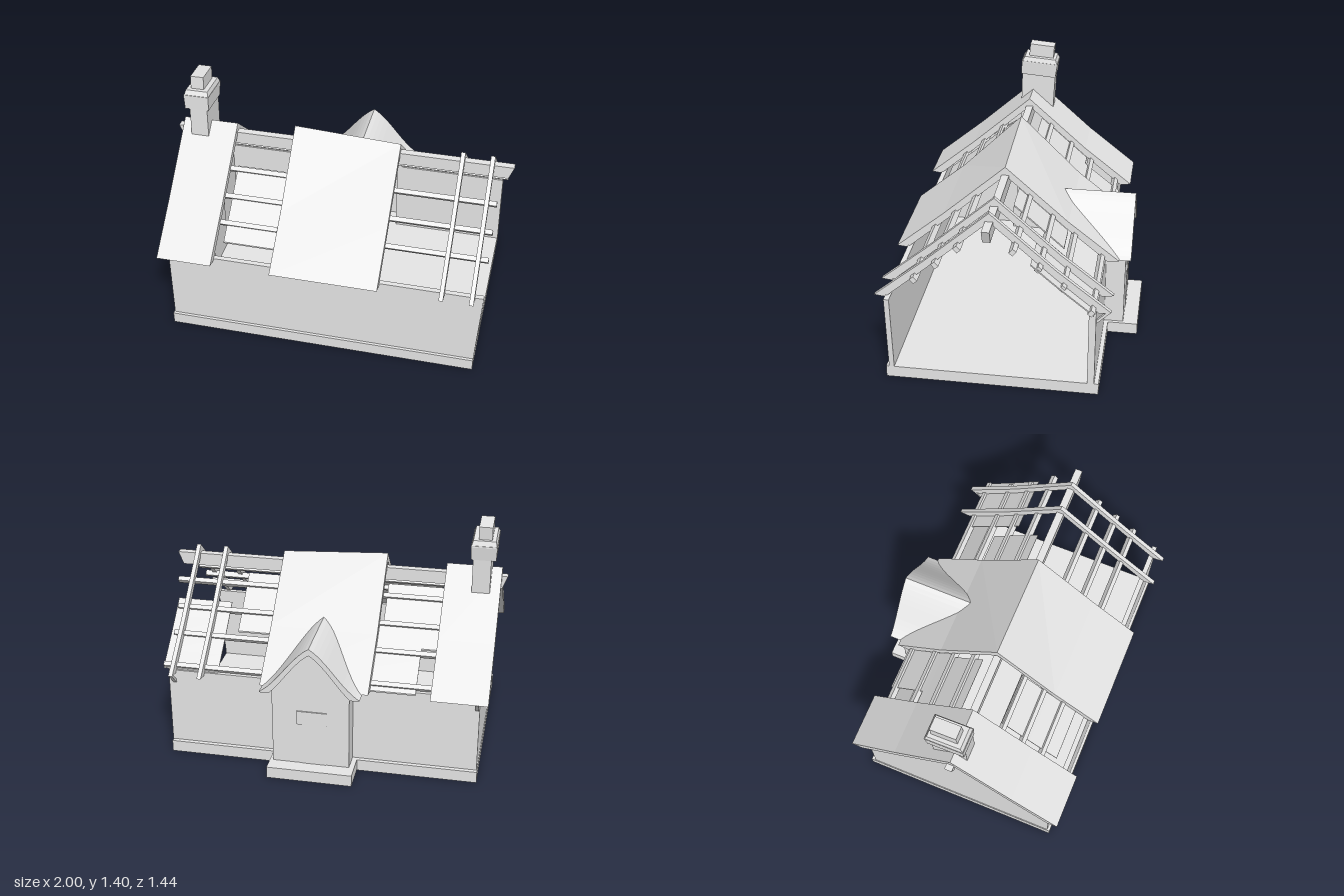
import * as THREE from 'three';

const stone = new THREE.MeshStandardMaterial({ color: 0xe6e6e6 });
stone.name = 'pale grey';

// Main roof surface height at depth z, ridge at z = 0.065
const RIDGE = 0.065;
function roofY(z) {
  const d = Math.abs(z - RIDGE);
  return d < 0.365 ? 1.1 - d * 0.89 : 0.775 - (d - 0.365) * 0.81;
}

export function createModel() {
  const house = new THREE.Group();
  house.name = 'ruinedCottage';

  const add = (name, geometry) => {
    const mesh = new THREE.Mesh(geometry, stone);
    mesh.name = name;
    house.add(mesh);
    return mesh;
  };
  const box = (name, x0, x1, y0, y1, z0, z1) =>
    add(name, new THREE.BoxGeometry(x1 - x0, y1 - y0, z1 - z0)
      .translate((x0 + x1) / 2, (y0 + y1) / 2, (z0 + z1) / 2));
  const extrude = (points, depth) => new THREE.ExtrudeGeometry(
    new THREE.Shape(points.map(p => new THREE.Vector2(p[0], p[1]))),
    { depth, bevelEnabled: false });
  // Profile in (z, y) swept from x0 to x1
  const sweepX = (name, points, x0, x1) =>
    add(name, extrude(points, x1 - x0).rotateY(-Math.PI / 2).translate(x1, 0, 0));
  // Profile in (x, y) swept from z0 to z1
  const sweepZ = (name, points, z0, z1) =>
    add(name, extrude(points, z1 - z0).translate(0, 0, z0));

  // Plinth, and a porch step that is hollow underneath
  box('plinth', -0.92, 0.905, 0, 0.07, -0.545, 0.67);
  box('stepTop', -0.22, 0.28, 0.06, 0.07, -0.722, -0.545);
  box('stepFront', -0.22, 0.28, 0, 0.06, -0.722, -0.717);
  box('stepSide', -0.22, -0.215, 0, 0.06, -0.717, -0.545);
  box('stepSide', 0.275, 0.28, 0, 0.06, -0.717, -0.545);

  // Walls: the right end is open and the front wall ends in a slant
  sweepZ('frontWall', [[-0.915, 0.07], [0.905, 0.07], [0.935, 0.54], [-0.915, 0.54]], 0.623, 0.653);
  // Back wall in two lengths, open to the porch between them
  box('backWall', -0.915, -0.16, 0.07, 0.54, -0.52, -0.48);
  box('backWall', 0.23, 0.907, 0.07, 0.54, -0.52, -0.48);
  sweepX('gableWall', [[0.65, 0.07], [0.65, 0.535], [0.43, 0.73], [RIDGE, 1.055],
    [-0.3, 0.73], [-0.515, 0.55], [-0.515, 0.07]], -0.915, -0.89);
  sweepX('gableLining', [[0.625, 0.07], [0.625, 0.535], [RIDGE, 0.914], [-0.48, 0.555], [-0.48, 0.07]],
    -0.89, -0.87);

  // Roof strips and bare rafters share one bent profile
  const roofProfile = [[0.718, 0.536], [0.43, 0.775], [RIDGE, 1.1], [-0.3, 0.775], [-0.6, 0.538],
    [-0.535, 0.528], [-0.3, 0.722], [RIDGE, 1.047], [0.43, 0.722], [0.655, 0.528]];
  sweepX('leftRoof', roofProfile, -0.965, -0.64);
  const middle = sweepX('middleRoof', roofProfile, -0.29, 0.34).geometry;
  const pos = middle.attributes.position;
  for (let i = 0; i < pos.count; i++) { // ridge rises towards the chimney
    if (pos.getX(i) < 0 && Math.abs(pos.getZ(i) - RIDGE) < 0.01) pos.setY(i, pos.getY(i) + 0.035);
  }
  middle.computeVertexNormals();
  for (const x of [0.702, 0.873]) sweepX('rafter', roofProfile, x - 0.0125, x + 0.0125);

  // Small struts under the back eave
  for (const x of [-0.9, 0.873]) {
    sweepX('eaveStrut', [[-0.515, 0.455], [-0.515, 0.475], [-0.57, 0.532], [-0.595, 0.535]],
      x - 0.01, x + 0.01);
  }

  // Ridge beam with slanted ends
  sweepZ('ridgeBeam', [[-1, 1.05], [-0.97, 0.973], [0.97, 0.973], [1, 1.05]], 0.043, 0.087);

  // Purlins lie tilted beneath the rafters: z, right end
  const purlins = [[0.48, 0.93], [0.358, 0.93], [0.235, 0.93],
    [-0.073, 0.965], [-0.205, 0.93], [-0.335, 0.92], [-0.495, 0.94]];
  for (const [z, end] of purlins) {
    const beam = add('purlin', new THREE.BoxGeometry(end + 0.9, 0.034, 0.028));
    beam.rotation.x = z > RIDGE ? 0.7 : -0.7;
    beam.position.set((end - 0.9) / 2, roofY(z) - 0.058, z);
  }

  // Surviving boards set between the purlins: x0, x1, z0, z1
  const boards = [[-0.6, -0.29, 0.22, 0.57],
    [-0.64, -0.31, -0.2, -0.015], [-0.64, -0.29, -0.31, -0.2], [-0.55, -0.29, -0.53, -0.31],
    [0.34, 0.54, -0.3, -0.015], [0.61, 0.94, -0.51, -0.165]];
  for (const [x0, x1, z0, z1] of boards) {
    const zs = [0, 1, 2, 3, 4].map(i => z0 + (z1 - z0) * i / 4);
    sweepX('roofBoard', [...zs.map(z => [z, roofY(z) - 0.064]),
      ...zs.reverse().map(z => [z, roofY(z) - 0.055])], x0, x1);
  }

  // Chimney breast and stack
  sweepX('chimney', [[0.2, 0], [0.2, 0.21], [0.175, 0.24], [0.145, 0.86], [0.135, 1.22],
    [-0.078, 1.21], [-0.06, 0.85], [-0.037, 0.23], [-0.062, 0.205], [-0.062, 0]], -0.905, -0.8);

  // Leaning cap and pot, each a tapered square block
  const block = (name, bottom, top, h, w, d, x, y, z) => {
    const g = new THREE.CylinderGeometry(top * Math.SQRT1_2, bottom * Math.SQRT1_2, h, 4)
      .rotateY(Math.PI / 4).scale(w, 1, d).toNonIndexed();
    g.computeVertexNormals();
    const mesh = add(name, g);
    mesh.position.set(x, y, z);
    mesh.rotation.x = -0.08;
  };
  block('chimneyCap', 0.95, 1, 0.09, 0.15, 0.23, -0.861, 1.245, 0.026);
  block('chimneyCapTop', 1, 0.86, 0.035, 0.15, 0.23, -0.861, 1.3, 0.021);
  block('chimneyPot', 1, 1, 0.09, 0.078, 0.155, -0.864, 1.35, 0.013);

  // Porch roof: bell-shaped gable whose back end meets the main slope
  const porchX = 0.035, half = 0.29, steps = 24;
  const porchY = t => 0.535 + 0.178 * (1 - Math.abs(t)) + 0.059 * (1 + Math.cos(Math.PI * t));
  const ts = Array.from({ length: steps + 1 }, (_, i) => -1 + 2 * i / steps);
  const outer = ts.map(t => [porchX + t * half, porchY(t)]);
  const inner = ts.map(t => [porchX + t * half * 0.96, Math.max(0.53, porchY(t) - 0.04)]).reverse();
  const porch = sweepZ('porchRoof', [...outer, ...inner], 0, 1).geometry;
  const pp = porch.attributes.position;
  for (let i = 0; i < pp.count; i++) {
    const y = pp.getY(i);
    const meet = y < 0.775 ? -0.59 + (y - 0.54) * 1.234 : -0.3 + (y - 0.775) * 1.123;
    pp.setZ(i, pp.getZ(i) < 0.5 ? -0.668 : meet + 0.01);
  }
  porch.computeVertexNormals();

  // Porch walls, door and plaque
  const gableTop = ts.filter(t => Math.abs(t) < 0.75).map(t => [porchX + t * half, porchY(t) - 0.025]);
  sweepZ('porchFront', [[-0.19, 0.07], [-0.19, 0.55], ...gableTop, [0.26, 0.55], [0.26, 0.07]].reverse(),
    -0.635, -0.605);
  box('porchSide', -0.19, -0.16, 0.07, 0.55, -0.606, -0.48);
  box('porchSide', 0.23, 0.26, 0.07, 0.55, -0.606, -0.48);
  box('porchFloor', -0.19, 0.26, 0.06, 0.07, -0.635, -0.545);
  box('door', -0.055, 0.085, 0.07, 0.33, -0.638, -0.634);
  box('plaque', -0.06, 0.115, 0.33, 0.415, -0.642, -0.634);

  return house;
}
